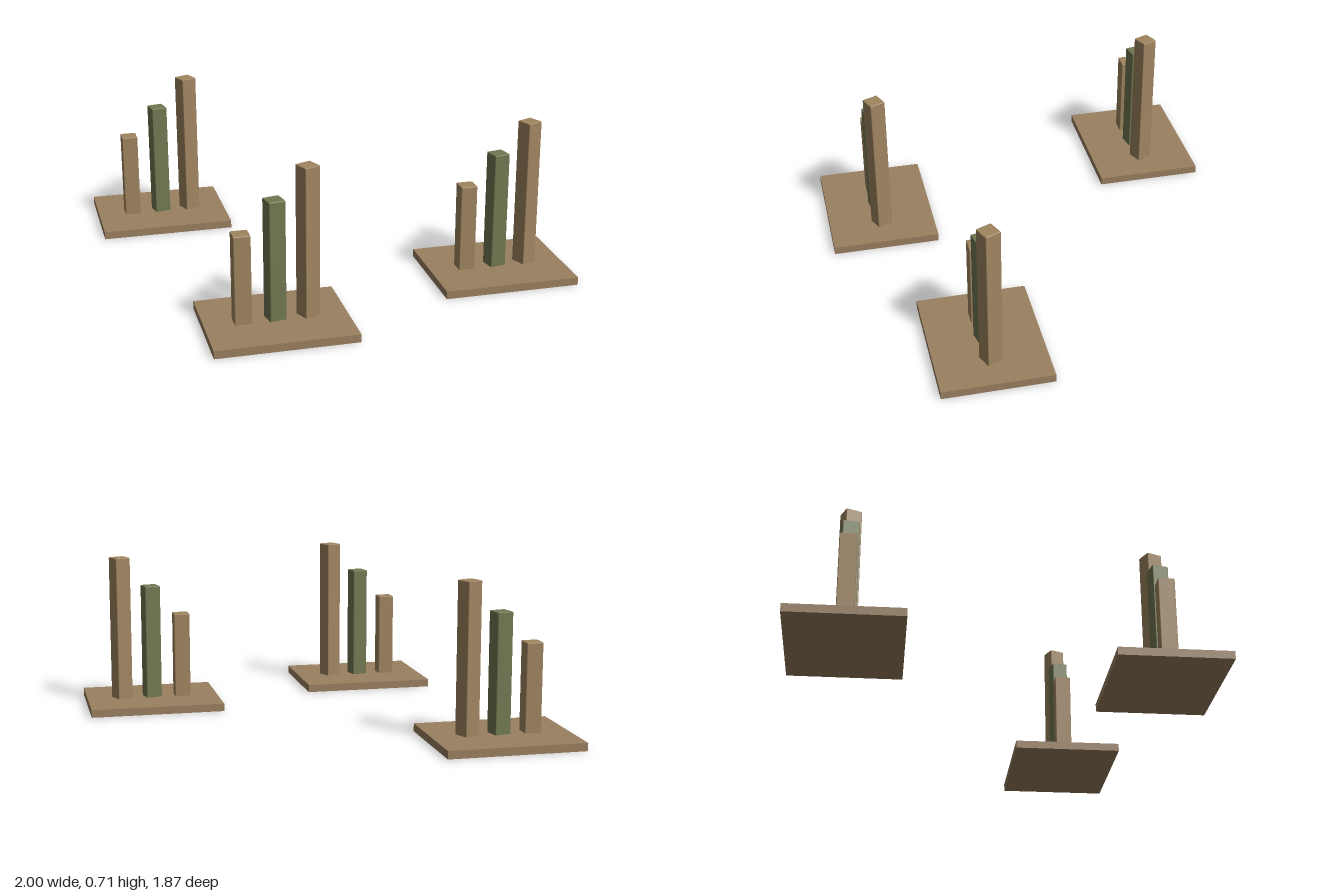
import * as THREE from 'three';
import { RoundedBoxGeometry } from 'three/addons/geometries/RoundedBoxGeometry.js';

const material = (color) => new THREE.MeshStandardMaterial({ color });

export function createModel() {
  const model = new THREE.Group();
  const baseMaterial = material(0x9a8060);
  const woodMaterial = material(0xa08560);
  const greenMaterial = material(0x707850);

  const baseThickness = 0.036;
  const postWidth = 0.0745;
  const postBottom = 0.004;
  const baseGeometry = new THREE.BoxGeometry(0.62, baseThickness, 0.495);

  // Three posts per stand, rising and twisting from right to left
  const posts = [
    { name: 'shortPost', x: -0.144, top: 0.435, turn: 0, mat: woodMaterial },
    { name: 'middlePost', x: 0, top: 0.573, turn: 0.2, mat: greenMaterial },
    { name: 'tallPost', x: 0.144, top: 0.711, turn: 0.4, mat: woodMaterial },
  ].map((p) => {
    const height = p.top - postBottom;
    const geometry = new RoundedBoxGeometry(postWidth, height, postWidth, 1, 0.004);
    return { ...p, geometry, y: postBottom + height / 2 };
  });

  function createStand(name, x, z) {
    const stand = new THREE.Group();
    stand.name = name;
    stand.position.set(x, 0, z);

    // Flat base plate
    const base = new THREE.Mesh(baseGeometry, baseMaterial);
    base.name = 'basePlate';
    base.position.y = baseThickness / 2;
    stand.add(base);

    // Upright posts with slightly eased edges
    for (const p of posts) {
      const post = new THREE.Mesh(p.geometry, p.mat);
      post.name = p.name;
      post.position.set(p.x, p.y, 0);
      post.rotation.y = p.turn;
      stand.add(post);
    }
    return stand;
  }

  model.add(
    createStand('backStand', -0.69, -0.69),
    createStand('frontStand', -0.408, 0.685),
    createStand('leftStand', 0.69, 0.373),
  );
  return model;
}
